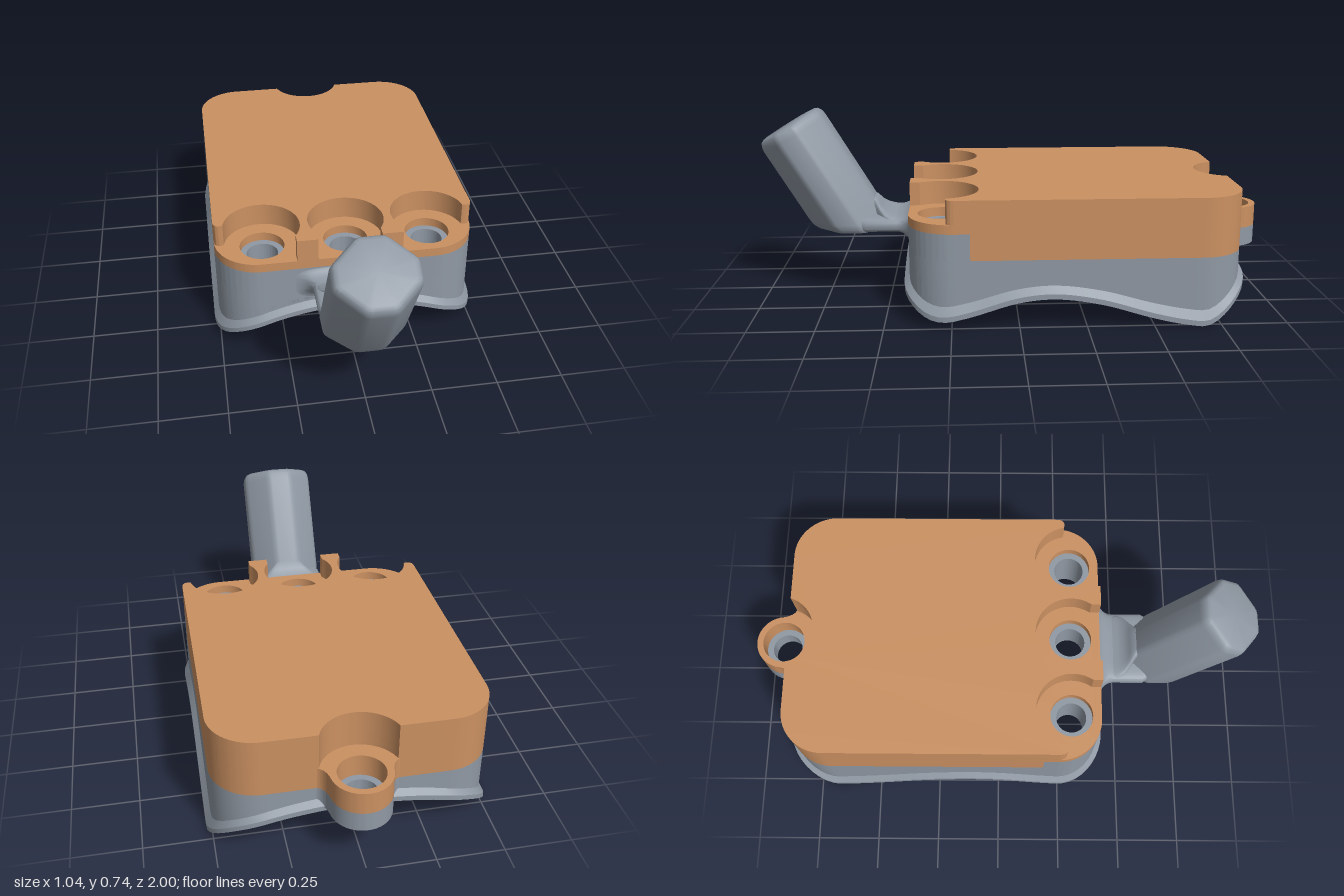
import * as THREE from 'three';
import { toCreasedNormals } from 'three/addons/utils/BufferGeometryUtils.js';

const tan = new THREE.MeshStandardMaterial({ name: 'tan cover', color: 0xcb9162 });
const grey = new THREE.MeshStandardMaterial({ name: 'grey body', color: 0x9099a4 });

const W = 0.5, BACK = -0.845, FRONT = 0.41, R = 0.17;
const TAB_Z = -0.89, SCREW_Z = 0.29, SCREWS = [-0.32, 0, 0.32];
const PI = Math.PI;

// Height of the saddle-shaped lower edge: wavy at the sides, level along the middle
const sideCurve = new THREE.CubicInterpolant(
  [-0.88, -0.78, -0.7, -0.62, -0.5, -0.3, -0.13, 0, 0.2, 0.33, 0.44],
  [0.1, 0.035, 0.001, 0.007, 0.033, 0.091, 0.115, 0.103, 0.045, 0.022, 0.035], 1);
function edgeY(x, z) {
  const side = sideCurve.evaluate(z)[0];
  return side + (0.176 - side) * Math.max(0, 1 - (x / 0.522) ** 2);
}

// Rounded rectangle as [x, z] points, grown outwards by off
function ring(off) {
  const arcs = [];
  const r = R + off;
  [[1, 1], [-1, 1], [-1, -1], [1, -1]].forEach(([sx, sz], k) => {
    const cx = sx * (W - R), cz = sz > 0 ? FRONT - R : BACK + R;
    for (let j = 0; j <= 10; j++) {
      const a = (k + j / 10) * PI / 2;
      arcs.push([cx + r * Math.cos(a), cz + r * Math.sin(a)]);
    }
  });
  const points = [];
  arcs.forEach((p, i) => {
    const q = arcs[(i + 1) % arcs.length];
    const n = i % 11 === 10 ? 32 : 1;
    for (let j = 0; j < n; j++) {
      points.push([p[0] + (q[0] - p[0]) * j / n, p[1] + (q[1] - p[1]) * j / n]);
    }
  });
  // Step round the screw hole of the rear tab
  return points.map(([x, z]) => [x, z < -0.75 && Math.abs(x) < 0.1
    ? Math.max(z, TAB_Z + Math.sqrt(0.01 - x * x)) : z]);
}

// Skin closed loops of [x, y, z] points
function loft(rows, crease = 0.6) {
  const n = rows[0].length, index = [];
  for (let r = 0; r < rows.length - 1; r++) {
    for (let i = 0; i < n; i++) {
      const a = r * n + i, b = r * n + (i + 1) % n;
      index.push(a, b, a + n, b, b + n, a + n);
    }
  }
  const geo = new THREE.BufferGeometry();
  geo.setAttribute('position', new THREE.Float32BufferAttribute(rows.flat(2), 3));
  geo.setIndex(index);
  geo.computeVertexNormals();
  return toCreasedNormals(geo, crease);
}

// Extrude a plan shape (x, z) downwards from top to bottom
function slab(shape, top, bottom) {
  const geo = new THREE.ExtrudeGeometry(shape, { depth: top - bottom, bevelEnabled: false, curveSegments: 20 });
  geo.rotateX(PI / 2).translate(0, top, 0);
  return geo;
}

// Split every triangle in four so that a flat face can be bent
function subdivide(geo) {
  const p = geo.attributes.position, out = [];
  for (let i = 0; i < p.count; i += 3) {
    const [a, b, c] = [0, 1, 2].map(k => new THREE.Vector3().fromBufferAttribute(p, i + k));
    const ab = a.clone().lerp(b, 0.5), bc = b.clone().lerp(c, 0.5), ca = c.clone().lerp(a, 0.5);
    for (const v of [a, ab, ca, ab, b, bc, ca, bc, c, ab, bc, ca]) out.push(v.x, v.y, v.z);
  }
  return new THREE.BufferGeometry().setAttribute('position', new THREE.Float32BufferAttribute(out, 3));
}

function drill(shape, x, z, r) {
  shape.holes.push(new THREE.Path().absarc(x, z, r, 0, 2 * PI, true));
  return shape;
}

// Cover outline with the rear screw notch; drawFront makes the front edge
function coverShape(frontZ, drawFront) {
  const s = new THREE.Shape().moveTo(-W, frontZ);
  s.lineTo(-W, BACK + R);
  s.absarc(-W + R, BACK + R, R, PI, 1.5 * PI, false);
  s.absarc(0, TAB_Z, 0.145, PI - 0.315, 0.315, true);
  s.absarc(W - R, BACK + R, R, 1.5 * PI, 2 * PI, false);
  s.lineTo(W, frontZ);
  if (drawFront) drawFront(s);
  return s;
}

// Rear tab: round outside, filleted into the wall, round boss inside
function tabShape(holeR) {
  const s = new THREE.Shape().moveTo(-0.145, BACK);
  s.quadraticCurveTo(-0.115, -0.855, -0.108, -0.91);
  s.absarc(0, TAB_Z, 0.11, PI + 0.19, 2 * PI - 0.19, false);
  s.quadraticCurveTo(0.115, -0.855, 0.145, BACK);
  s.absarc(0, TAB_Z, 0.15, 0.3, PI - 0.3, false);
  return drill(s, 0, TAB_Z, holeR);
}

export function createModel() {
  const model = new THREE.Group();
  const add = (name, geo, mat) => {
    const mesh = new THREE.Mesh(geo, mat);
    mesh.name = name;
    model.add(mesh);
  };
  const addSlab = (name, shape, top, bottom, mat) =>
    add(name, toCreasedNormals(slab(shape, top, bottom), 0.5), mat);

  // Lower shell: outer wall, sloping lip, stepped underside, inner wall
  const section = [[0, null], [0, 0.042], [0.02, 0.02], [0.02, 0],
    [-0.015, 0], [-0.018, 0.015], [-0.05, 0.03], [-0.05, null]];
  add('lowerShell', loft(section.map(([off, up]) =>
    ring(off).map(([x, z]) => [x, up === null ? 0.26 : edgeY(x, z) + up, z])), 0.5), grey);

  // Front screw block with an arched underside
  const outline = ring(0).filter(p => p[1] > FRONT - R - 0.001);
  for (let i = 0; i <= 24; i++) outline.push([-W + i / 24, 0.18]);
  const block = new THREE.Shape(outline.map(p => new THREE.Vector2(p[0], p[1])));
  SCREWS.forEach(x => drill(block, x, SCREW_Z, 0.06));
  const blockGeo = subdivide(subdivide(subdivide(slab(block, 0.36, 0.26))));
  const pos = blockGeo.attributes.position;
  for (let i = 0; i < pos.count; i++) {
    const depth = 0.31 - edgeY(pos.getX(i), pos.getZ(i));
    pos.setY(i, 0.36 - (0.36 - pos.getY(i)) / 0.1 * depth);
  }
  add('frontScrewBlock', toCreasedNormals(blockGeo, 0.5), grey);

  // Cover: lower block, screw plate, and top layer with open pockets
  addSlab('coverLower', coverShape(0.18), 0.36, 0.26, tan);
  const plate = coverShape(FRONT - R, s => {
    s.absarc(W - R, FRONT - R, R, 0, PI / 2, false);
    s.absarc(-W + R, FRONT - R, R, PI / 2, PI, false);
  });
  SCREWS.forEach(x => drill(plate, x, SCREW_Z, 0.085));
  addSlab('coverScrewPlate', plate, 0.395, 0.36, tan);
  addSlab('coverTop', coverShape(0.235, s => {
    s.quadraticCurveTo(W, 0.268, 0.475, 0.268);
    s.absarc(0.32, SCREW_Z, 0.145, -0.174, -3.736, true);
    s.lineTo(0.2, FRONT).lineTo(0.12, FRONT);
    s.absarc(0, SCREW_Z, 0.145, 0.594, -3.736, true);
    s.lineTo(-0.12, FRONT).lineTo(-0.2, FRONT);
    s.absarc(-0.32, SCREW_Z, 0.145, 0.594, -2.968, true);
    s.lineTo(-0.475, 0.268).quadraticCurveTo(-W, 0.268, -W, 0.235);
  }), 0.485, 0.395, tan);
  for (const side of [-1, 1]) {
    add('coverRail', new THREE.BoxGeometry(0.07, 0.07, 0.9).translate(side * 0.365, 0.23, -0.34), tan);
  }

  // Rear screw tab
  addSlab('tabUpper', tabShape(0.085), 0.345, 0.26, tan);
  addSlab('tabLower', tabShape(0.06), 0.26, 0.185, grey);

  // Tilted eight-sided handle with softened edges, cut level at the bottom
  const up = [0.86, 0.51], floor = 0.262;
  const corners = [[0.15, 0.042], [0.05, 0.138], [-0.05, 0.138], [-0.15, 0.042],
    [-0.15, -0.042], [-0.05, -0.138], [0.05, -0.138], [0.15, -0.042]];
  const octagon = corners.flatMap((c, i) => {
    const toward = k => corners[(i + k) % 8].map((v, j) => c[j] + (v - c[j]) * 0.14);
    const a = toward(7), b = toward(1);
    return [a, [0, 1].map(j => (a[j] + 2 * c[j] + b[j]) / 4), b];
  });
  const handleRow = (scale, drop, lift) => octagon.map(([x, v]) => {
    const y0 = 0.685 - 0.51 * v * scale, z0 = 0.893 + 0.86 * v * scale;
    const t = lift === undefined ? drop : (y0 - floor - lift) / up[0];
    return [x * scale, y0 - up[0] * t, z0 - up[1] * t];
  });
  add('handle', loft([
    handleRow(0, 0), handleRow(0.82, 0), handleRow(0.92, 0.007), handleRow(0.978, 0.021), handleRow(1, 0.042),
    handleRow(1, 0, 0.04), handleRow(0.975, 0, 0.018), handleRow(0.91, 0, 0.005), handleRow(0.8, 0, 0),
    handleRow(0, 0, 0)], 0.6), grey);

  // Neck rows are z, half width, bottom, top
  const soft = c => Math.sign(c) * Math.sqrt(Math.abs(c));
  const neckLoft = rows => loft(rows.map(([z, w, low, high]) => Array.from({ length: 40 }, (_, i) => {
    const a = i * PI / 20;
    return [w * soft(Math.cos(a)), (low + high) / 2 + (high - low) / 2 * soft(Math.sin(a)), z];
  })), 0.9);
  const neck = [];
  for (let i = 0; i <= 8; i++) {
    const a = i / 8 * PI / 2, grow = 1 - Math.sin(a);
    neck.push([0.408 + 0.06 * (1 - Math.cos(a)), 0.148 + 0.08 * grow, 0.264 - 0.06 * grow, 0.33 + 0.035 * grow]);
  }
  neck.push([0.59, 0.148, 0.264, 0.33], [0.64, 0.12, 0.27, 0.325]);
  add('handleNeck', neckLoft(neck), grey);

  // Fillet from the neck up the back of the handle
  add('handleFillet', neckLoft([[0.46, 0.14, 0.28, 0.328], [0.49, 0.14, 0.28, 0.334], [0.515, 0.125, 0.28, 0.345],
    [0.535, 0.1, 0.28, 0.364], [0.555, 0.07, 0.28, 0.392], [0.6, 0.04, 0.29, 0.4]]), grey);

  return model;
}
